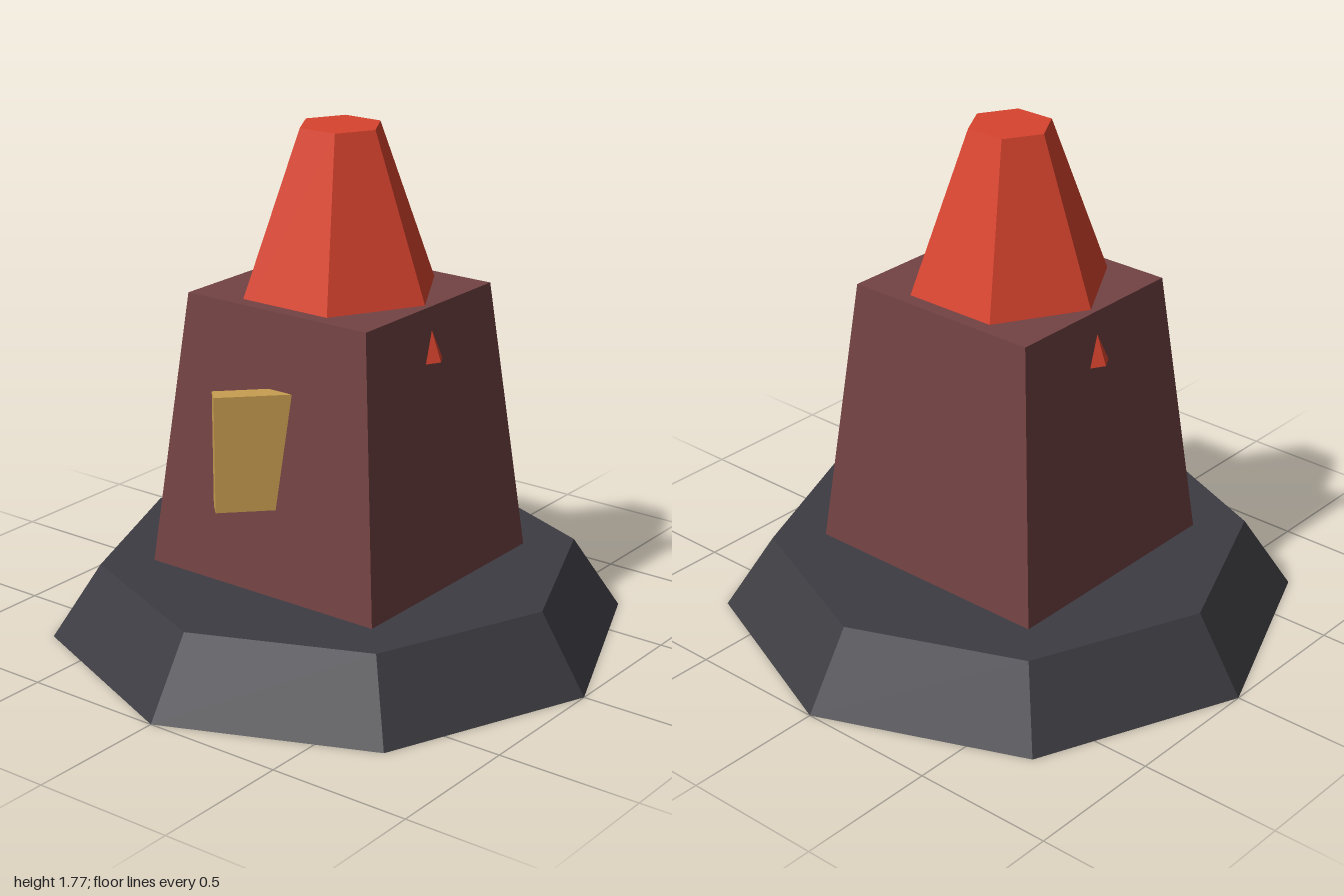
import * as THREE from 'three';

function flat(name, color) {
  const material = new THREE.MeshStandardMaterial({ color, flatShading: true });
  material.name = name;
  return material;
}

// Tapered prism standing between two heights
function frustum(name, material, sides, topRadius, bottomRadius, y0, y1, turn = 0) {
  const geometry = new THREE.CylinderGeometry(topRadius, bottomRadius, y1 - y0, sides);
  geometry.rotateY(turn);
  const mesh = new THREE.Mesh(geometry, material);
  mesh.name = name;
  mesh.position.y = (y0 + y1) / 2;
  return mesh;
}

export function createModel() {
  const group = new THREE.Group();
  group.name = 'tower';

  const stone = flat('dark stone', 0x3d3c42);
  const brick = flat('dull red wall', 0x734243);
  const red = flat('bright red roof', 0xd8432e);
  const gold = flat('ochre panel', 0xc89e50);

  // Octagonal plinth with corners on the axes
  group.add(frustum('base', stone, 8, 0.83, 1, 0, 0.26));

  // Tapered four-sided body, slightly shallower than wide
  const body = frustum('body', brick, 4, 0.367 * Math.SQRT2, 0.466 * Math.SQRT2, 0.26, 1.217, Math.PI / 4);
  body.scale.z = 0.957;
  group.add(body);

  // Six-sided roof sunk into the body, its side corners poking through the walls
  group.add(frustum('roof', red, 6, 0.143, 0.413, 1.035, 1.773, Math.PI / 6));

  // Panel standing out of the front wall at an angle
  const panel = new THREE.Mesh(new THREE.BoxGeometry(0.34, 0.4, 0.068), gold);
  panel.name = 'frontPanel';
  panel.position.set(0.005, 0.76, 0.412);
  panel.rotation.y = Math.PI / 4;
  group.add(panel);

  return group;
}
